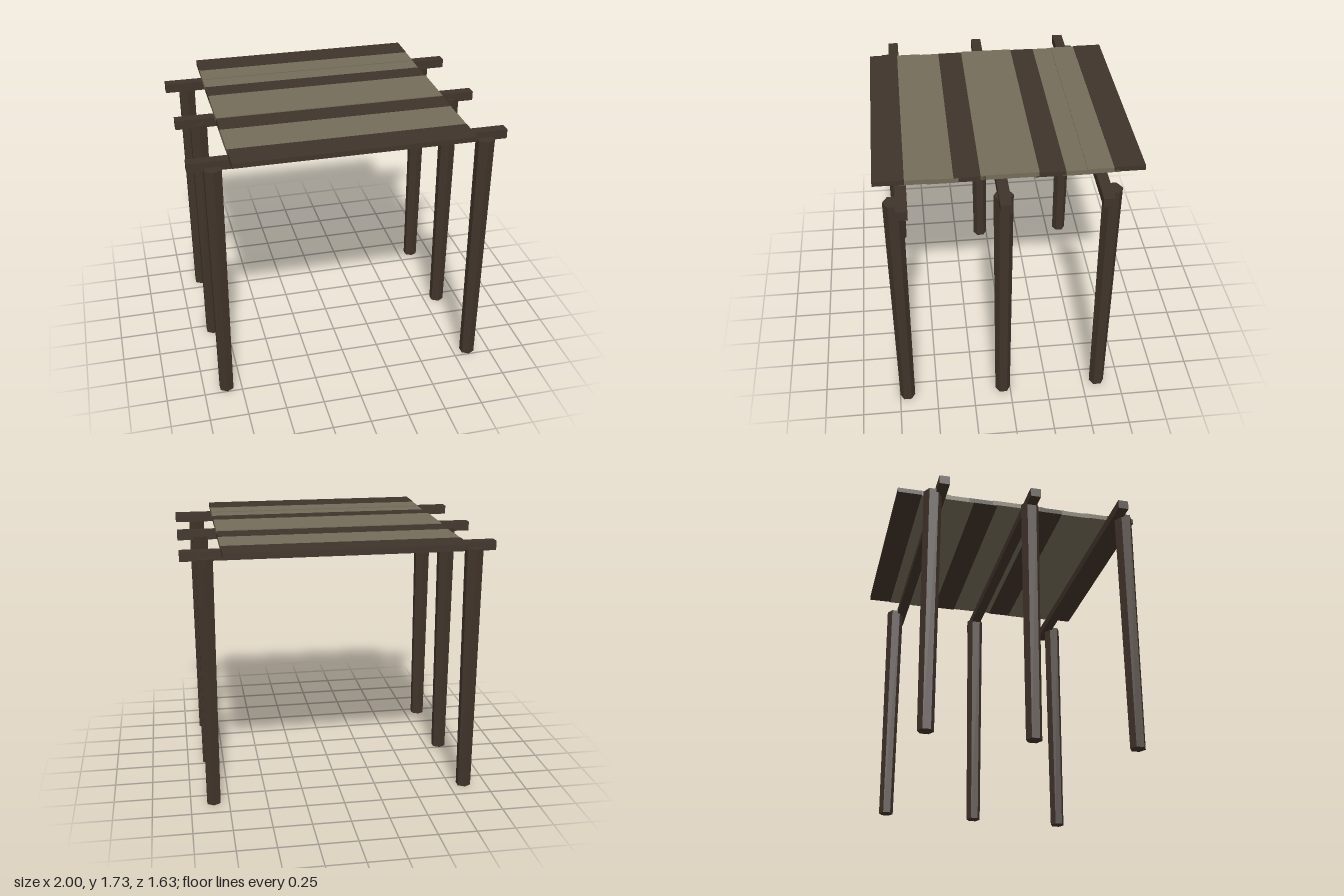
import * as THREE from 'three';

export function createModel() {
  const model = new THREE.Group();
  model.name = 'pergola';

  const darkWood = new THREE.MeshStandardMaterial({ color: 0x40342a, flatShading: true });
  const lightWood = new THREE.MeshStandardMaterial({ color: 0x746c59, flatShading: true });

  const add = (name, geometry, material, x, y, z) => {
    const mesh = new THREE.Mesh(geometry, material);
    mesh.name = name;
    mesh.position.set(x, y, z);
    model.add(mesh);
  };

  // Three frames: a cross beam with a tapered six-sided post near each end
  const postHeight = 1.65;
  const postGeometry = new THREE.CylinderGeometry(0.06, 0.05, postHeight, 6);
  const beamGeometry = new THREE.BoxGeometry(2, 0.06, 0.068);
  const frames = [
    { name: 'front', beamZ: 0.65, postZ: 0.7 },
    { name: 'middle', beamZ: 0.05, postZ: 0.05 },
    { name: 'back', beamZ: -0.55, postZ: -0.6 },
  ];
  for (const { name, beamZ, postZ } of frames) {
    add(name + 'Beam', beamGeometry, darkWood, 0, 1.657, beamZ);
    add(name + 'LeftPost', postGeometry, darkWood, 0.85, postHeight / 2, postZ);
    add(name + 'RightPost', postGeometry, darkWood, -0.85, postHeight / 2, postZ);
  }

  // Overlapping roof planks at slightly uneven heights, every third one dark
  const plankGeometry = new THREE.BoxGeometry(1.5, 0.032, 0.19);
  for (let i = 0; i < 10; i++) {
    const y = 1.707 + 0.004 * Math.cos(i * 1.4);
    add('roofPlank' + (i + 1), plankGeometry, i % 3 === 0 ? darkWood : lightWood, 0, y, 0.72 - i * 0.16);
  }

  return model;
}
